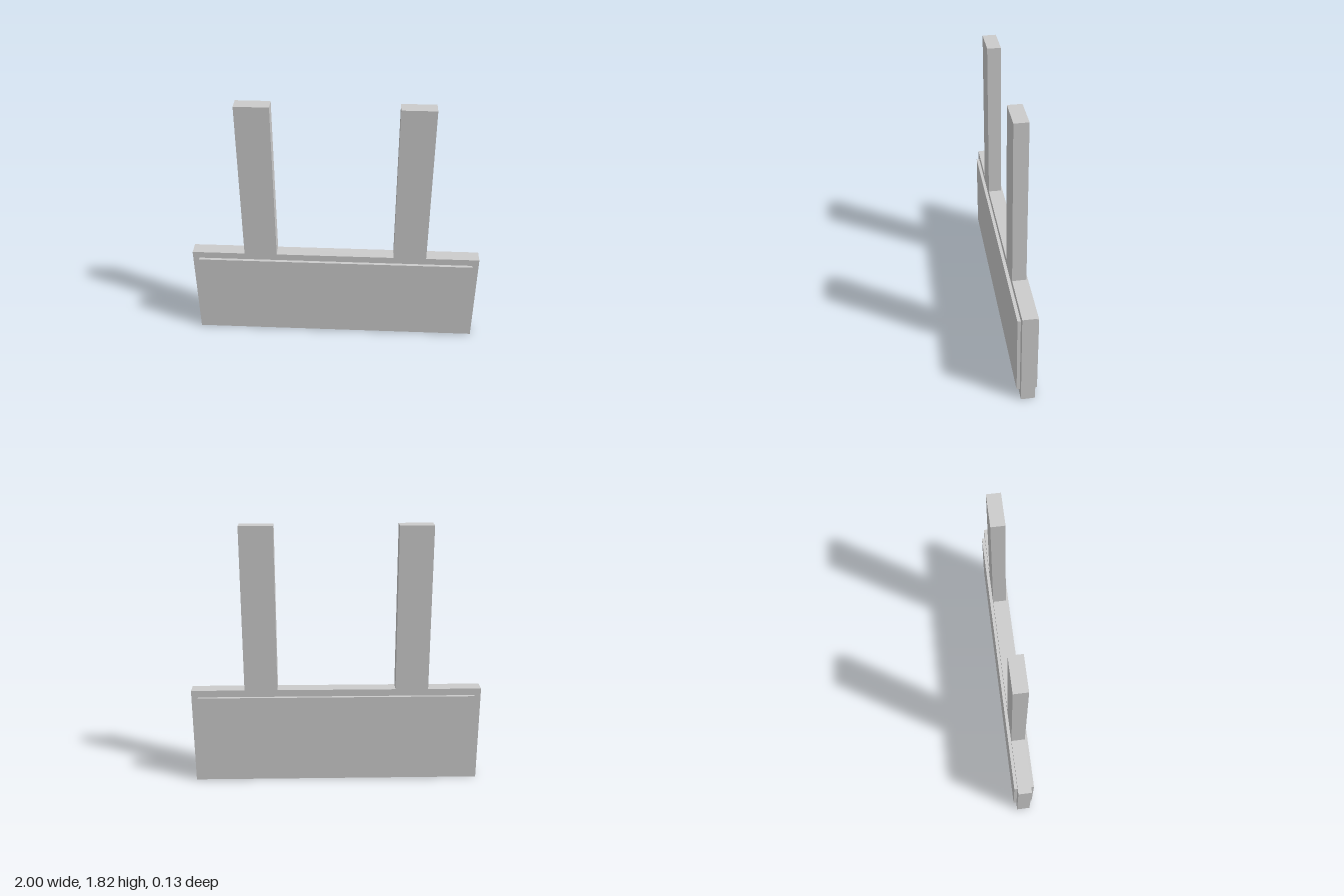
import * as THREE from 'three';

export function createModel() {
  const group = new THREE.Group();
  const material = new THREE.MeshStandardMaterial({ color: 0xcccccc, flatShading: true });

  const boardTop = 0.685, postTop = 1.82;
  const postInner = 0.407, postOuter = 0.633;
  const depth = 0.092;

  // Board and its two hanging posts share one flat outline
  const half = [[1, 0], [1, boardTop], [postOuter, boardTop], [postOuter, postTop],
    [postInner, postTop], [postInner, boardTop]];
  const mirrored = half.map(([x, y]) => [-x, y]).reverse();
  const outline = new THREE.Shape([...half, ...mirrored].map(([x, y]) => new THREE.Vector2(x, y)));
  const frameGeometry = new THREE.ExtrudeGeometry(outline, { depth, bevelEnabled: false });
  frameGeometry.translate(0, 0, -depth / 2);
  const frame = new THREE.Mesh(frameGeometry, material);
  frame.name = 'boardWithPosts';
  group.add(frame);

  // Raised sign panels on the front and back
  const raise = 0.021;
  const panelGeometry = new THREE.BoxGeometry(1.91, 0.588, raise);
  for (const [name, side] of [['frontPanel', 1], ['backPanel', -1]]) {
    const panel = new THREE.Mesh(panelGeometry, material);
    panel.name = name;
    panel.position.set(0, boardTop / 2, side * (depth + raise) / 2);
    group.add(panel);
  }

  return group;
}
